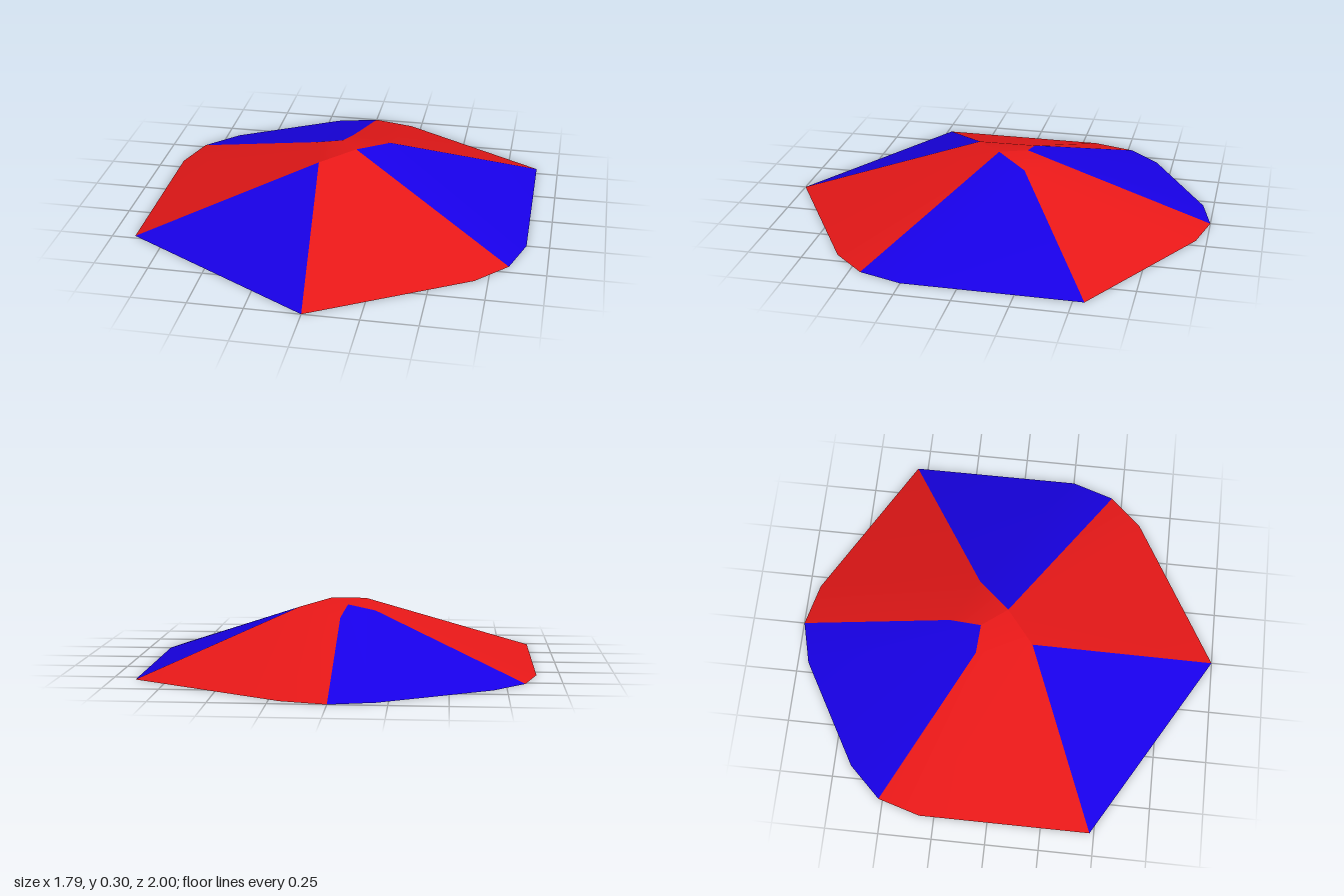
import * as THREE from 'three';
import { mergeVertices } from 'three/addons/utils/BufferGeometryUtils.js';

// Rim corners (on the ground) and crown corners (near the peak)
const points = {
  back: [0, 0, -1], backR: [0.2, 0, -0.95], rightBack: [0.895, 0, -0.55],
  rightFront: [0.895, 0, 0.25], bevelR: [0.83, 0, 0.45], frontR: [0.69, 0, 0.6],
  front: [0, 0, 1], leftFront: [-0.895, 0, 0.48], leftBack: [-0.895, 0, -0.32],
  bevelL: [-0.835, 0, -0.52], backL: [-0.69, 0, -0.67], backM: [-0.2, 0, -0.95],
  peak: [0.06, 0.3, 0], crownFront: [-0.095, 0.281, 0.13], crownRight: [0.2, 0.276, -0.15],
  crownLeft: [-0.155, 0.259, -0.13], crownMid: [-0.025, 0.285, -0.12], crownBack: [0, 0.246, -0.27],
};

function material(name, color) {
  const m = new THREE.MeshStandardMaterial({ color });
  m.name = name;
  return m;
}

// Softly shaded panel from named fans; each triangle is turned to face up or down
function panel(name, mat, fans, up = 1) {
  const pos = [];
  for (const fan of fans) {
    const v = fan.split(' ').map((k) => new THREE.Vector3(...points[k]));
    for (let i = 1; i < v.length - 1; i++) {
      const [a, b, c] = [v[0], v[i], v[i + 1]];
      const ny = b.clone().sub(a).cross(c.clone().sub(a)).y;
      const tri = ny * up > 0 ? [a, b, c] : [a, c, b];
      tri.forEach((p) => pos.push(p.x, p.y, p.z));
    }
  }
  const soup = new THREE.BufferGeometry();
  soup.setAttribute('position', new THREE.Float32BufferAttribute(pos, 3));
  const geo = mergeVertices(soup);
  geo.computeVertexNormals();
  const mesh = new THREE.Mesh(geo, mat);
  mesh.name = name;
  return mesh;
}

export function createModel() {
  const red = material('red', 0xe81818);
  const blue = material('blue', 0x1800e8);
  const green = material('green', 0x20d400);
  const group = new THREE.Group();
  group.name = 'canopy';
  group.add(
    // Red panels
    panel('frontRedPanel', red, ['peak bevelR frontR front crownFront']),
    panel('leftRedPanel', red, [
      'leftBack leftFront crownFront crownLeft bevelL',
      'crownFront crownLeft crownMid peak',
    ]),
    panel('backRedPanel', red, [
      'backR rightBack crownRight crownBack back',
      'crownMid crownBack crownRight peak',
    ]),
    // Blue panels
    panel('frontBluePanel', blue, ['front leftFront crownFront']),
    panel('rightBluePanel', blue, ['crownRight rightBack rightFront bevelR peak']),
    panel('backBluePanel', blue, ['backM back crownBack crownMid crownLeft backL', 'backL crownLeft bevelL']),
    // Flat underside
    panel('underside', green, [
      'back backR rightBack rightFront bevelR frontR front leftFront leftBack bevelL backL backM',
    ], -1),
  );
  return group;
}
